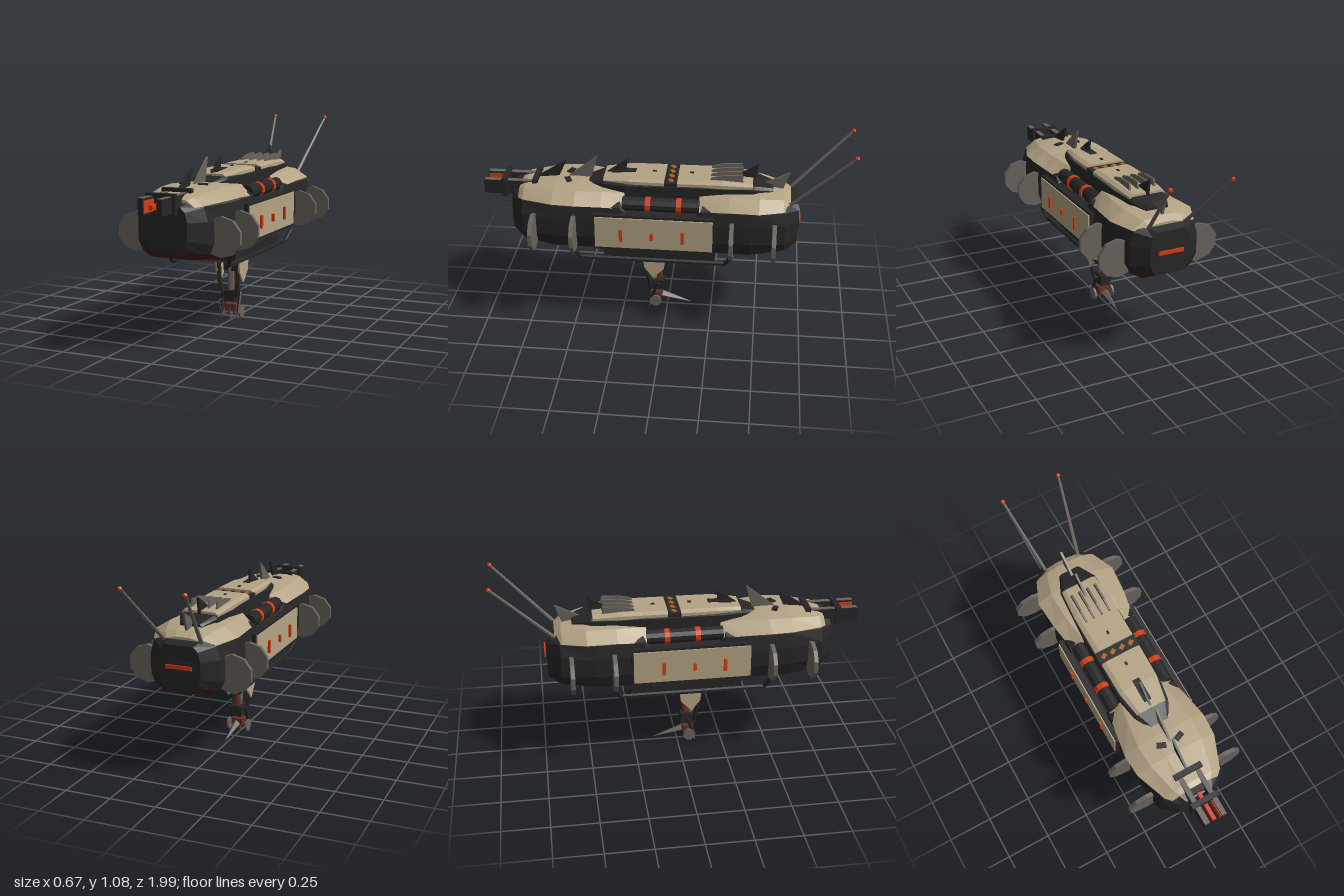
import * as THREE from 'three';

const mat = (name, color, o = {}) => {
  const m = new THREE.MeshStandardMaterial({ color, flatShading: true, ...o });
  m.name = name;
  return m;
};

export function createModel() {
  const dark = mat('charcoal', 0x262626), cream = mat('cream armour', 0xb3a384);
  const grey = mat('warm grey', 0x6a635c), belly = mat('belly maroon', 0x431d16);
  const rust = mat('rust', 0x653026), red = mat('signal red', 0xd63c12), orange = mat('amber', 0xb0641f);
  const root = new THREE.Group();

  const add = (name, geo, m, x = 0, y = 0, z = 0, rx = 0, ry = 0, rz = 0) => {
    const mesh = new THREE.Mesh(geo, m);
    mesh.name = name;
    mesh.position.set(x, y, z);
    mesh.rotation.set(rx, ry, rz);
    root.add(mesh);
    return mesh;
  };
  const box = (name, m, w, h, d, x, y, z, rx = 0, ry = 0, rz = 0) =>
    add(name, new THREE.BoxGeometry(w, h, d), m, x, y, z, rx, ry, rz);
  // Tapered rod between two points
  const rod = (name, m, a, b, r0, r1 = r0, sides = 6) => {
    const p = new THREE.Vector3(...a), q = new THREE.Vector3(...b), d = q.clone().sub(p);
    const mesh = add(name, new THREE.CylinderGeometry(r1, r0, d.length(), sides), m);
    mesh.position.copy(p).add(q).multiplyScalar(0.5);
    mesh.quaternion.setFromUnitVectors(new THREE.Vector3(0, 1, 0), d.normalize());
  };
  // Plate with a [z, y] outline, given a thickness along x
  const plate = (name, m, pts, t, x = 0) => {
    const s = new THREE.Shape(pts.map(([z, y]) => new THREE.Vector2(-z, y)));
    const g = new THREE.ExtrudeGeometry(s, { depth: t, bevelEnabled: false });
    g.translate(0, 0, -t / 2).rotateY(Math.PI / 2);
    add(name, g, m, x);
  };
  // Mirrored loft: each ring is [z, half section from bottom to top]; lowest strips take the second material
  const loft = (name, rings, mats, low = 0) => {
    const loops = rings.map(([z, half]) => [
      ...half.map(([x, y]) => [x, y, z]),
      ...half.slice().reverse().map(([x, y]) => [-x, y, z])]);
    const n = loops[0].length, pos = [], g = new THREE.BufferGeometry();
    const isLow = j => low > 0 && (j < low || j >= n - 1 - low);
    for (const pass of [false, true]) {
      const start = pos.length / 3;
      for (let j = 0; j < n; j++) {
        if (isLow(j) !== pass) continue;
        const k = (j + 1) % n;
        for (let i = 0; i + 1 < loops.length; i++) {
          const A = loops[i], B = loops[i + 1];
          pos.push(...A[j], ...A[k], ...B[k], ...A[j], ...B[k], ...B[j]);
        }
      }
      if (!pass) {
        const A = loops[0], B = loops[loops.length - 1];
        for (let j = 1; j + 1 < n; j++) pos.push(...A[0], ...A[j + 1], ...A[j], ...B[0], ...B[j], ...B[j + 1]);
      }
      g.addGroup(start, pos.length / 3 - start, pass ? 1 : 0);
    }
    g.setAttribute('position', new THREE.Float32BufferAttribute(pos, 3));
    g.computeVertexNormals();
    add(name, g, mats);
  };

  // Main hull with maroon belly
  const full = [[0.12, 0.447], [0.19, 0.475], [0.213, 0.55], [0.213, 0.65], [0.2, 0.73], [0.12, 0.77]];
  const mid = [[0.12, 0.45], [0.19, 0.475], [0.213, 0.55], [0.213, 0.65], [0.2, 0.7], [0.11, 0.72]];
  const end = [[0.12, 0.47], [0.165, 0.5], [0.19, 0.55], [0.19, 0.66], [0.17, 0.73], [0.11, 0.76]];
  const tip = [[0.08, 0.505], [0.1, 0.53], [0.113, 0.57], [0.113, 0.66], [0.1, 0.71], [0.075, 0.735]];
  loft('hull', [[-0.71, tip], [-0.64, end], [-0.46, full], [-0.2, full], [-0.17, mid], [0.21, mid],
    [0.24, full], [0.6, full], [0.77, end], [0.84, tip]], [dark, belly], 1);

  // Upper armour shells
  const shell = (low, w, side, top, x1, x2) =>
    [[x2, low - 0.01], [w - 0.035, low], [w, side], [x1, top], [x2, top + 0.012]];
  loft('frontArmour', [
    [0.22, shell(0.695, 0.19, 0.72, 0.78, 0.12, 0.06)], [0.34, shell(0.715, 0.213, 0.735, 0.79, 0.14, 0.06)],
    [0.48, shell(0.725, 0.236, 0.748, 0.798, 0.158, 0.06)], [0.6, shell(0.725, 0.23, 0.748, 0.795, 0.152, 0.06)],
    [0.77, shell(0.71, 0.165, 0.735, 0.775, 0.11, 0.05)], [0.8, shell(0.71, 0.135, 0.73, 0.762, 0.09, 0.04)]], [cream]);
  loft('rearArmour', [
    [-0.665, shell(0.705, 0.13, 0.725, 0.752, 0.09, 0.04)], [-0.63, shell(0.71, 0.175, 0.735, 0.775, 0.11, 0.05)],
    [-0.5, shell(0.725, 0.23, 0.745, 0.795, 0.15, 0.06)], [-0.34, shell(0.715, 0.217, 0.74, 0.792, 0.145, 0.06)],
    [-0.18, shell(0.695, 0.19, 0.72, 0.78, 0.12, 0.06)]], [cream]);

  // Raised spine: dark base, two cream covers and a banded saddle
  const spine = (w, y0, y1) => [[w, y0], [w, y1 - 0.012], [w * 0.8, y1]];
  loft('spineBase', [[-0.57, spine(0.06, 0.75, 0.81)], [-0.47, spine(0.105, 0.74, 0.835)], [-0.2, spine(0.12, 0.7, 0.838)],
    [0.22, spine(0.12, 0.7, 0.833)], [0.34, spine(0.1, 0.74, 0.83)], [0.43, spine(0.055, 0.75, 0.805)]], [dark]);
  loft('rearSpineCover', [[-0.46, spine(0.1, 0.82, 0.848)], [-0.3, spine(0.113, 0.82, 0.858)],
    [-0.06, spine(0.113, 0.82, 0.856)]], [cream]);
  loft('frontSpineCover', [[0.01, spine(0.113, 0.82, 0.856)], [0.2, spine(0.11, 0.815, 0.855)],
    [0.34, spine(0.085, 0.81, 0.842)]], [cream]);
  box('saddleBand', dark, 0.235, 0.03, 0.07, 0, 0.83, -0.025);
  for (const x of [-0.08, -0.027, 0.027, 0.08])
    box('saddleMark', orange, 0.03, 0.006, 0.022, x, 0.847, -0.025, 0, 0.6);
  box('spineHatch', dark, 0.04, 0.012, 0.13, 0, 0.853, 0.235);
  for (const z of [-0.13, 0.07]) box('spineStud', dark, 0.012, 0.012, 0.02, 0, 0.855, z);
  for (const s of [-1, 1]) box('noseVent', dark, 0.05, 0.012, 0.03, s * 0.052, 0.809, 0.535, 0, s * 0.4);

  // Dorsal fins
  plate('dorsalFin', dark, [[0.75, 0.775], [0.6, 0.79], [0.55, 0.9]], 0.012);
  plate('dorsalFin', grey, [[0.55, 0.8], [0.42, 0.79], [0.38, 0.935]], 0.012);
  plate('dorsalFin', dark, [[0.36, 0.82], [0.23, 0.83], [0.215, 0.925]], 0.012);
  plate('dorsalFin', dark, [[-0.36, 0.85], [-0.47, 0.82], [-0.485, 0.925]], 0.012);
  plate('dorsalFin', grey, [[-0.48, 0.795], [-0.62, 0.78], [-0.655, 0.885]], 0.012);
  for (const x of [-0.07, -0.024, 0.024, 0.07])
    plate('coolingFin', grey, [[-0.23, 0.85], [-0.41, 0.845], [-0.4, 0.89], [-0.3, 0.885], [-0.24, 0.87]], 0.01, x);

  for (const s of [-1, 1]) {
    // Side pipes with red collars
    add('sidePipe', new THREE.CylinderGeometry(0.038, 0.038, 0.41, 10), dark, s * 0.157, 0.738, 0.022, Math.PI / 2);
    for (const z of [0.09, -0.075])
      add('pipeCollar', new THREE.CylinderGeometry(0.042, 0.042, 0.028, 10), red, s * 0.157, 0.738, z, Math.PI / 2);
    // Side panel with slanted lights
    box('panelFrame', dark, 0.04, 0.21, 0.65, s * 0.21, 0.595, 0.055);
    box('sidePanel', cream, 0.012, 0.18, 0.63, s * 0.231, 0.597, 0.055);
    for (const [z, h] of [[0.23, 0.07], [0.065, 0.04], [-0.1, 0.07]])
      box('panelLight', red, 0.018, h, 0.017, s * 0.24, 0.587, z);
    // Side discs
    for (const z of [0.705, 0.485, -0.36, -0.585]) {
      const d = add('sideDisc', new THREE.CylinderGeometry(0.105, 0.105, 0.022, 10), grey, s * 0.233, 0.581, z, Math.PI / 2);
      d.scale.set(1, 1, 0.97);
    }
    // Under rails
    const path = [[s * 0.185, 0.455, 0.5], [s * 0.16, 0.39, 0.465], [s * 0.16, 0.39, -0.325], [s * 0.185, 0.455, -0.365]];
    for (let i = 0; i < 3; i++) rod('underRail', dark, path[i], path[i + 1], 0.013);
    // Antennas
    rod('antenna', grey, [s * 0.1, 0.74, -0.66], [s * 0.166, 1.066, -0.982], 0.011, 0.007);
    add('antennaTip', new THREE.IcosahedronGeometry(0.0135, 0), red, s * 0.166, 1.066, -0.982);
  }

  // Tail light
  box('tailFrame', dark, 0.16, 0.055, 0.015, 0, 0.625, -0.708);
  box('tailLight', red, 0.14, 0.02, 0.014, 0, 0.625, -0.716);

  // Nose cannon
  box('cannonMount', dark, 0.16, 0.11, 0.03, 0, 0.755, 0.715);
  box('cannonBody', dark, 0.09, 0.05, 0.16, 0, 0.75, 0.75);
  box('cannonBrace', dark, 0.155, 0.105, 0.03, 0, 0.752, 0.885);
  box('cannonCore', red, 0.02, 0.025, 0.2, 0, 0.748, 0.89);
  for (const s of [-1, 1]) {
    box('cannonBarrel', dark, 0.028, 0.08, 0.34, s * 0.05, 0.75, 0.83);
    box('barrelTop', grey, 0.026, 0.004, 0.33, s * 0.05, 0.791, 0.83);
    box('barrelGlow', red, 0.005, 0.06, 0.1, s * 0.034, 0.75, 0.945);
  }

  // Underside platform
  box('platform', dark, 0.28, 0.05, 0.61, 0, 0.412, 0.035);
  box('platformNeck', dark, 0.2, 0.03, 0.5, 0, 0.445, 0.035);
  box('platformBase', rust, 0.2, 0.022, 0.45, 0, 0.375, 0.065);

  // Hanging claw arm
  box('armSocket', dark, 0.075, 0.09, 0.07, 0, 0.325, 0.065);
  rod('armColumn', grey, [0, 0.36, 0.09], [0, 0.12, 0.075], 0.022, 0.014);
  rod('armPiston', rust, [0, 0.36, 0.03], [0, 0.15, 0.05], 0.016);
  box('wrist', dark, 0.06, 0.06, 0.09, 0, 0.14, 0.065);
  box('hand', rust, 0.065, 0.04, 0.06, 0, 0.072, 0.065);
  for (const s of [-1, 1]) {
    plate('armGuard', cream, [[0.135, 0.365], [0.125, 0.28], [0.075, 0.215], [0.015, 0.28], [0.005, 0.365]], 0.01, s * 0.068);
    rod('armStrut', dark, [s * 0.055, 0.365, 0.125], [s * 0.055, 0.22, 0.11], 0.012);
    rod('armStrut', dark, [s * 0.055, 0.23, 0.11], [s * 0.035, 0.135, 0.095], 0.011);
    rod('fingerLink', dark, [s * 0.045, 0.16, 0.05], [s * 0.05, 0.04, 0.1], 0.01);
    add('fingerDisc', new THREE.CylinderGeometry(0.035, 0.035, 0.012, 10), grey, s * 0.055, 0.05, 0.065, 0, 0, Math.PI / 2);
    rod('sideClaw', grey, [s * 0.015, 0.06, 0.08], [s * 0.055, 0.012, 0.1], 0.014, 0.001, 4);
  }
  rod('rearClaw', grey, [0, 0.065, 0.03], [0, 0.02, -0.135], 0.022, 0.001, 4);
  rod('frontClaw', grey, [0, 0.06, 0.08], [0, 0.001, 0.09], 0.02, 0.001, 4);

  return root;
}
